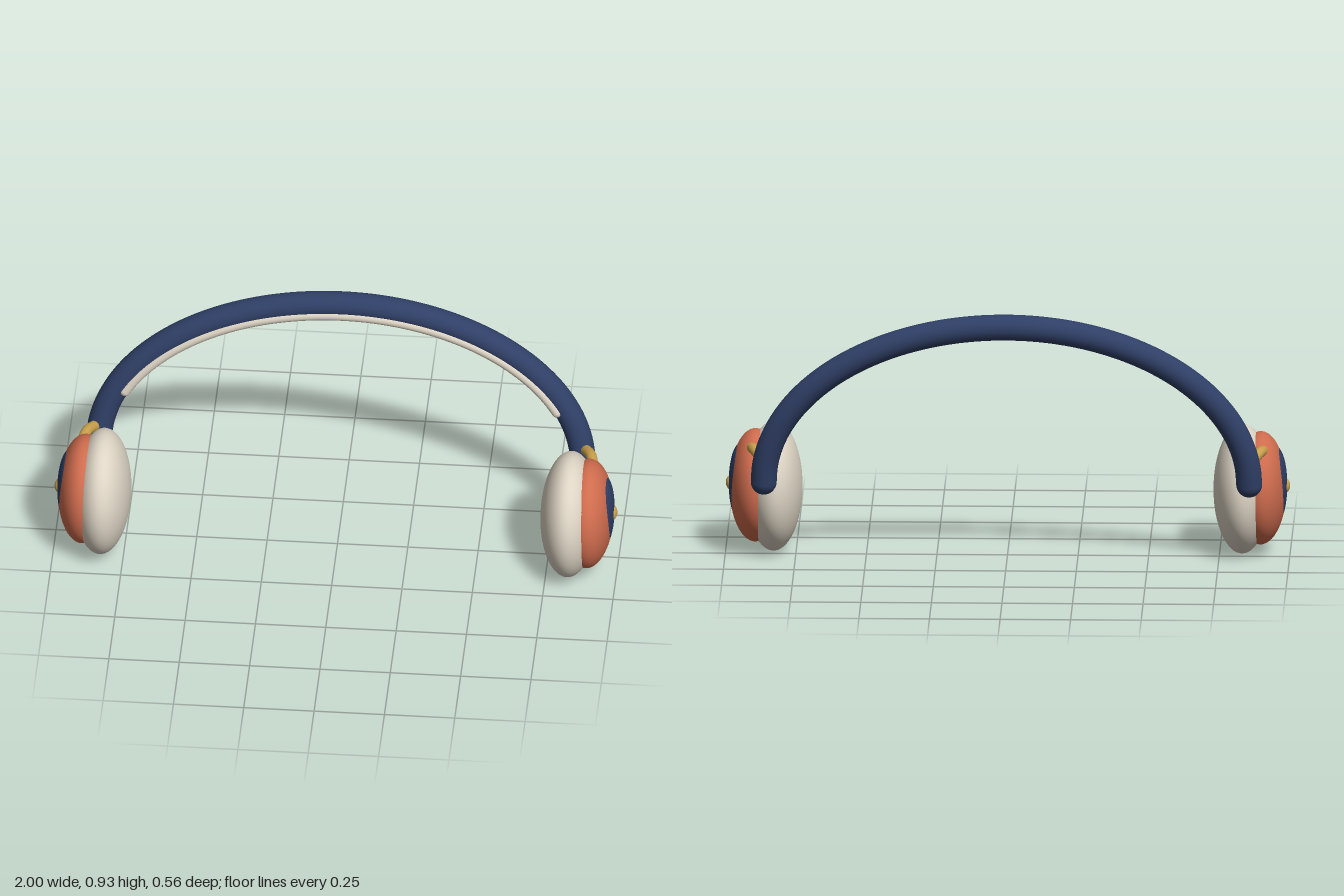
import * as THREE from 'three';

const mat = (name, color) => {
  const m = new THREE.MeshStandardMaterial({ color });
  m.name = name;
  return m;
};

export function createModel() {
  const navy = mat('navy', 0x2f3f66);
  const coral = mat('coral', 0xcf6c4e);
  const cream = mat('cream', 0xddd4c4);
  const gold = mat('gold', 0xc89f4c);

  const model = new THREE.Group();
  model.name = 'headphones';

  const add = (parent, name, geometry, material) => {
    const mesh = new THREE.Mesh(geometry, material);
    mesh.name = name;
    parent.add(mesh);
    return mesh;
  };

  const ellipsoid = (parent, name, material, position, radii) => {
    const mesh = add(parent, name, new THREE.SphereGeometry(1, 48, 32), material);
    mesh.position.set(...position);
    mesh.scale.set(...radii);
  };

  // Round tube through points, closed by a ball at each end
  const roundedTube = (parent, name, material, points, radius, segments) => {
    const group = new THREE.Group();
    group.name = name;
    parent.add(group);
    const curve = new THREE.CatmullRomCurve3(points);
    add(group, name + 'Tube', new THREE.TubeGeometry(curve, segments, radius, 20), material);
    for (const end of [points[0], points[points.length - 1]]) {
      add(group, name + 'End', new THREE.SphereGeometry(radius, 20, 14), material).position.copy(end);
    }
  };

  // Half-ellipse arch that leans back as it rises
  const arch = (width, height, z, start) => {
    const points = [];
    for (let i = 0; i <= 32; i++) {
      const t = start + (Math.PI - 2 * start) * i / 32;
      points.push(new THREE.Vector3(
        width * Math.cos(t), 0.298 + height * Math.sin(t), z - 0.09 * Math.sin(t)));
    }
    return points;
  };

  // Headband and the slim pad along its inner front edge
  roundedTube(model, 'headband', navy, arch(0.86, 0.587, -0.145, 0), 0.046, 96);
  roundedTube(model, 'headbandPad', cream, arch(0.835, 0.56, -0.114, 0.405), 0.019, 80);

  // Ear pieces, mirrored by the sign of x
  for (const side of [1, -1]) {
    const ear = new THREE.Group();
    ear.name = side > 0 ? 'leftEarpiece' : 'rightEarpiece';
    model.add(ear);
    ellipsoid(ear, 'cushion', cream, [side * 0.83, 0.234, 0.067], [0.102, 0.231, 0.211]);
    ellipsoid(ear, 'cup', coral, [side * 0.895, 0.238, 0.063], [0.092, 0.202, 0.18]);
    ellipsoid(ear, 'capDisc', navy, [side * 0.95, 0.247, 0.063], [0.0395, 0.138, 0.112]);
    ellipsoid(ear, 'button', gold, [side * 0.975, 0.247, 0.063], [0.025, 0.029, 0.032]);
    // Curved arm joining the cup to the headband
    roundedTube(ear, 'arm', gold, [
      new THREE.Vector3(side * 0.907, 0.392, -0.02),
      new THREE.Vector3(side * 0.895, 0.396, -0.07),
      new THREE.Vector3(side * 0.858, 0.37, -0.15),
    ], 0.019, 20);
  }
  return model;
}
